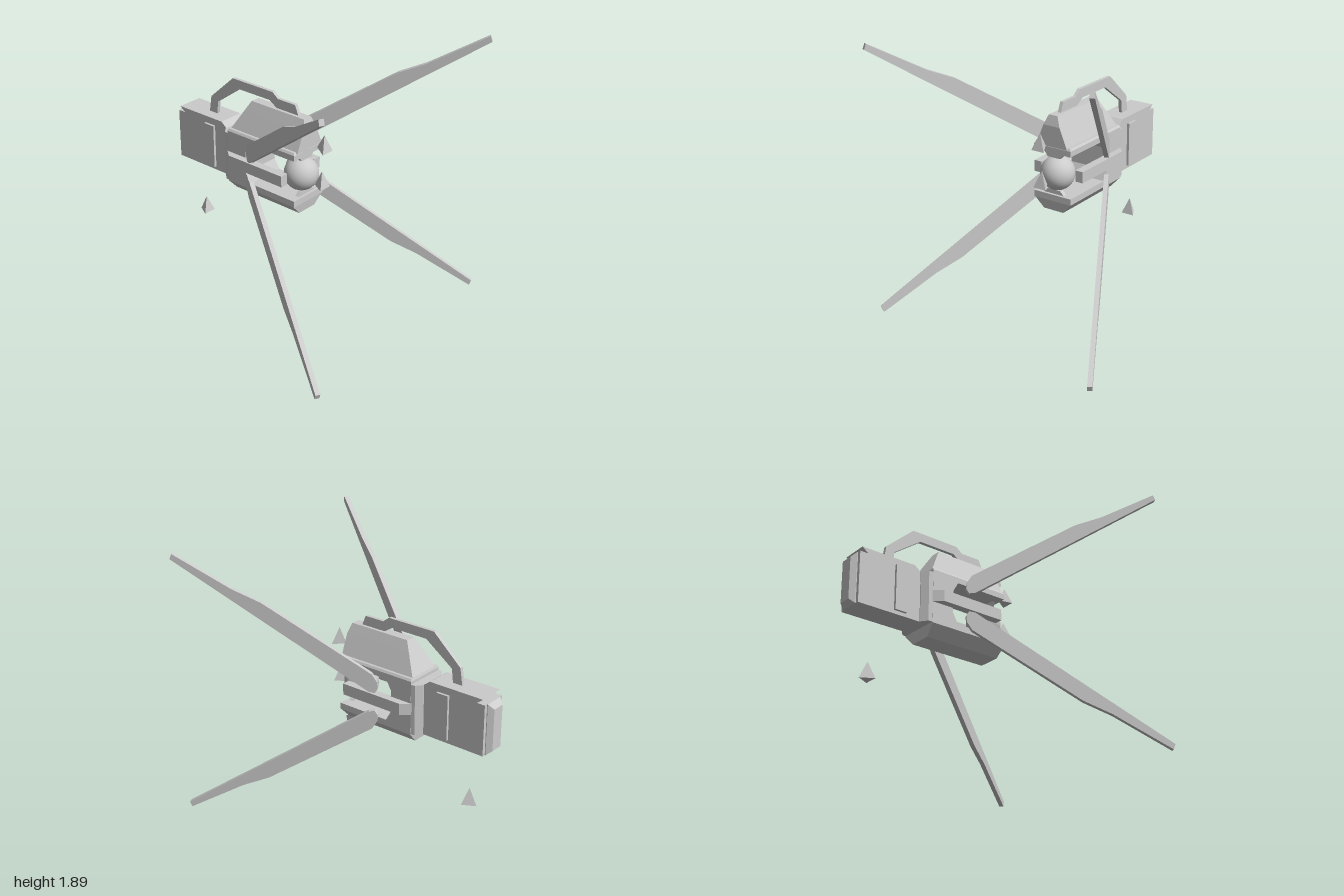
import * as THREE from 'three';

const material = new THREE.MeshStandardMaterial({ color: 0xcccccc, flatShading: true });
const smooth = new THREE.MeshStandardMaterial({ color: 0xcccccc });
const MID = 0.945; // height of the mirror plane between upper and lower arms

// Side profile of [z, y] points, extruded across x and centred on it
function sideSlab(points, width) {
  const shape = new THREE.Shape(points.map(([z, y]) => new THREE.Vector2(z, y)));
  const geo = new THREE.ExtrudeGeometry(shape, { depth: width, bevelEnabled: false });
  return geo.translate(0, 0, -width / 2).rotateY(-Math.PI / 2);
}

// Skin through four-cornered rings, capped at both ends
function loft(rings) {
  const pos = rings.flat(2), index = [], last = (rings.length - 1) * 4;
  for (let r = 0; r < last; r += 4) {
    for (let i = 0; i < 4; i++) {
      const j = (i + 1) % 4;
      index.push(r + i, r + j, r + 4 + j, r + i, r + 4 + j, r + 4 + i);
    }
  }
  index.push(0, 2, 1, 0, 3, 2, last, last + 1, last + 2, last, last + 2, last + 3);
  const geo = new THREE.BufferGeometry();
  geo.setAttribute('position', new THREE.Float32BufferAttribute(pos, 3));
  geo.setIndex(index);
  const flat = geo.toNonIndexed();
  flat.computeVertexNormals();
  return flat;
}

// Levels going up: [y, half width, front z, back z]
const stack = (levels) => loft(levels.map(([y, x, f, b]) => [[-x, y, f], [x, y, f], [x, y, b], [-x, y, b]]));
// Stations going forward: [z, half width, low y, high y]
const stations = (list) => loft(list.map(([z, x, lo, hi]) => [[-x, lo, z], [x, lo, z], [x, hi, z], [-x, hi, z]]));

export function createModel() {
  const model = new THREE.Group();
  const add = (name, geo, mat = material) => {
    const mesh = new THREE.Mesh(geo, mat);
    mesh.name = name;
    model.add(mesh);
    return mesh;
  };

  // Open-fronted body holding the ball
  add('body', sideSlab([
    [0.18, 0.755], [0.18, 0.8], [-0.22, 0.8], [-0.26, 0.87], [-0.26, 1.03], [-0.22, 1.1],
    [0.18, 1.1], [0.18, 1.14], [-0.425, 1.14], [-0.425, 0.755],
  ], 0.3));
  add('keel', stack([[0.68, 0.08, 0.165, -0.415], [0.755, 0.15, 0.175, -0.425]]));
  add('roofBase', stack([[1.14, 0.15, 0.18, -0.425], [1.155, 0.14, 0.17, -0.42]]));
  add('roof', stack([
    [1.145, 0.125, 0.185, -0.42], [1.29, 0.065, 0.185, -0.34], [1.36, 0.035, 0.165, -0.3],
  ]));
  add('ball', new THREE.SphereGeometry(0.12, 32, 20).translate(0, 0.94, 0.115), smooth);
  add('upperProng', stack([[1.06, 0.05, 0.16, 0.13], [1.1, 0.08, 0.16, 0.13]]));
  add('lowerProng', stack([[0.8, 0.08, 0.16, 0.13], [0.83, 0.05, 0.16, 0.13]]));

  // Side rails with a chamfered back corner
  for (const side of [1, -1]) {
    const plan = [[0.14, 0.11], [0.2, 0.11], [0.2, -0.37], [0.15, -0.43], [0.14, -0.43]];
    const shape = new THREE.Shape(plan.map(([x, z]) => new THREE.Vector2(x * side, -z)));
    const geo = new THREE.ExtrudeGeometry(shape, { depth: 0.08, bevelEnabled: false });
    add(side > 0 ? 'leftRail' : 'rightRail', geo.rotateX(-Math.PI / 2).translate(0, 0.905, 0));
  }

  // Neck, rear housing and its lid
  add('neck', stations([[-0.49, 0.1, 0.76, 1.12], [-0.455, 0.145, 0.76, 1.12], [-0.42, 0.15, 0.76, 1.12]]));
  add('rearHousing', new THREE.BoxGeometry(0.19, 0.36, 0.48).translate(0, 0.94, -0.72));
  add('endCap', stations([[-1, 0.045, 0.79, 1.085], [-0.965, 0.07, 0.76, 1.12], [-0.94, 0.07, 0.76, 1.12]]));
  add('lid', sideSlab([[-0.49, 1.12], [-0.535, 1.155], [-0.945, 1.155], [-0.9, 1.12]], 0.19));
  add('sidePanels', stations([
    [-0.69, 0.113, 0.785, 1.105], [-0.6, 0.113, 0.785, 1.105],
  ]));

  // Carrying handle
  add('handle', sideSlab([
    [0.1, 1.35], [0.067, 1.428], [-0.083, 1.428], [-0.13, 1.465], [-0.497, 1.465], [-0.71, 1.273],
    [-0.73, 1.15], [-0.657, 1.15], [-0.645, 1.25], [-0.437, 1.4], [-0.158, 1.4], [-0.095, 1.36], [-0.03, 1.35],
  ], 0.025));

  // Four flat arms splayed forward, up and down
  const tilt = 0.515;
  const blade = [
    [0.978, 1.89], [0.64, 1.674], [0.475, 1.594], [-0.155, 1.144], [-0.185, 1.09],
    [-0.19, 1.043], [-0.172, 1.01], [-0.135, 1.018], [0.99, 1.853],
  ];
  for (const side of [1, -1]) {
    for (const up of [1, -1]) {
      const points = blade.map(([z, y]) => [(z + 0.19) / Math.cos(tilt), MID + (y - MID) * up]);
      const arm = add(`${up > 0 ? 'upper' : 'lower'}${side > 0 ? 'Left' : 'Right'}Arm`, sideSlab(points, 0.032));
      arm.position.set(0.195 * side, 0, -0.19);
      arm.rotation.y = tilt * side;
    }
  }

  // Small floating three-sided markers: base height, front z, lean of the base
  for (const [name, y, z, lean] of [
    ['upperMarker', 1.16, 0.34, 0.015], ['frontMarker', 0.89, 0.324, 0], ['rearMarker', 0.31, -0.78, 0],
  ]) {
    const back = [0, y + lean, z - 0.09], a = [-0.05, y, z], b = [0.05, y, z], top = [0, y + 0.12, z - 0.03];
    const geo = new THREE.BufferGeometry();
    geo.setAttribute('position', new THREE.Float32BufferAttribute(
      [a, b, top, b, back, top, back, a, top, a, back, b].flat(), 3));
    geo.computeVertexNormals();
    add(name, geo);
  }
  return model;
}
